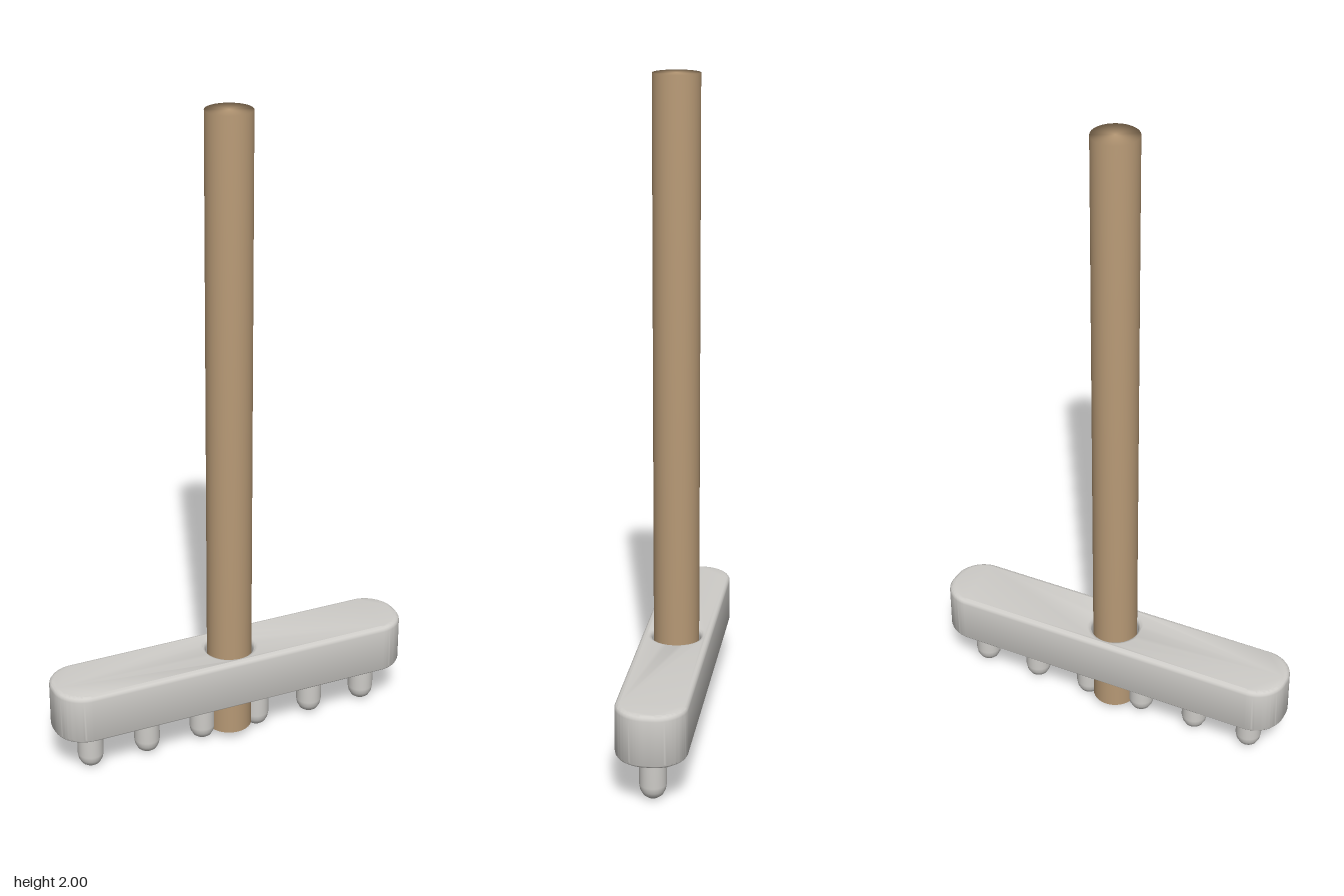
import * as THREE from 'three';
import { toCreasedNormals } from 'three/addons/utils/BufferGeometryUtils.js';

const wood = new THREE.MeshStandardMaterial({ color: 0xb99b77 });
wood.name = 'wood';
const paleGrey = new THREE.MeshStandardMaterial({ color: 0xcfcdc9 });
paleGrey.name = 'paleGrey';

const lathe = (points, segments) =>
  new THREE.LatheGeometry(points.map(([r, y]) => new THREE.Vector2(r, y)), segments);

// Rounded bar outline with a through hole for the handle
function barGeometry() {
  const w = 0.58, d = 0.105, r = 0.095, bevel = 0.015, bottom = 0.145, top = 0.305;
  const outline = new THREE.Shape();
  outline.absarc(w - r, d - r, r, 0, Math.PI / 2);
  outline.absarc(-w + r, d - r, r, Math.PI / 2, Math.PI);
  outline.absarc(-w + r, -d + r, r, Math.PI, Math.PI * 1.5);
  outline.absarc(w - r, -d + r, r, Math.PI * 1.5, Math.PI * 2);
  outline.holes.push(new THREE.Path().absarc(0, 0, 0.074, 0, Math.PI * 2, true));
  const geometry = new THREE.ExtrudeGeometry(outline, {
    depth: top - bottom - 2 * bevel,
    bevelThickness: bevel,
    bevelSize: bevel,
    bevelOffset: -bevel,
    bevelSegments: 4,
    curveSegments: 16,
  });
  geometry.rotateX(-Math.PI / 2);
  geometry.translate(0, bottom + bevel, 0);
  return toCreasedNormals(geometry, 0.7);
}

export function createModel() {
  const model = new THREE.Group();
  model.name = 'rake';
  const add = (name, geometry, material, x = 0) => {
    const mesh = new THREE.Mesh(geometry, material);
    mesh.name = name;
    mesh.position.x = x;
    model.add(mesh);
  };

  // Long handle, with normals blended softly over its ends
  add('handle', lathe([[0, 0.03], [0.069, 0.03], [0.069, 2], [0, 2]], 40), wood);

  add('headBar', barGeometry(), paleGrey);

  // Six round-tipped teeth
  const tooth = lathe(
    [[0, 0], [0.016, 0.003], [0.029, 0.013], [0.037, 0.028], [0.04, 0.045], [0.04, 0.155]], 24);
  for (let i = 0; i < 6; i++) add('tooth' + (i + 1), tooth, paleGrey, (i - 2.5) * 0.186);

  return model;
}
